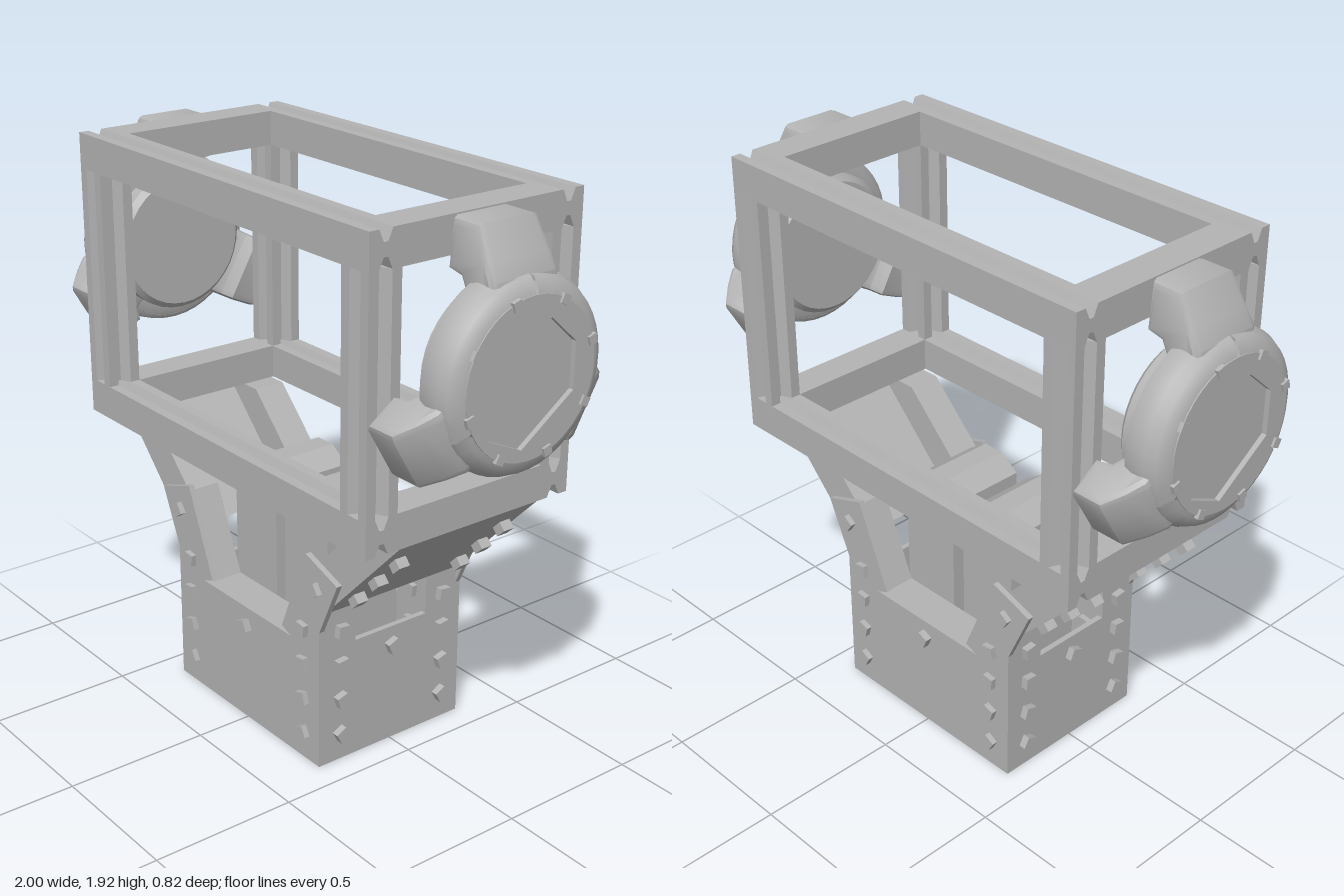
import * as THREE from 'three';
import { toCreasedNormals } from 'three/addons/utils/BufferGeometryUtils.js';

const steel = new THREE.MeshStandardMaterial({ color: 0xb4b4b4 });
steel.name = 'plainSteel';

function add(parent, name, geometry, x = 0, y = 0, z = 0) {
  const mesh = new THREE.Mesh(geometry, steel);
  mesh.name = name;
  mesh.position.set(x, y, z);
  parent.add(mesh);
  return mesh;
}

function box(parent, name, x0, x1, y0, y1, z0, z1) {
  return add(parent, name, new THREE.BoxGeometry(x1 - x0, y1 - y0, z1 - z0),
    (x0 + x1) / 2, (y0 + y1) / 2, (z0 + z1) / 2);
}

const polygon = (points) => new THREE.Shape(points.map(([x, y]) => new THREE.Vector2(x, y)));

// Prism with a front-view outline, mirrored by side, between two depths
function slab(parent, name, points, z0, z1, side = 1) {
  const shape = polygon(points.map(([x, y]) => [x * side, y]));
  return add(parent, name, new THREE.ExtrudeGeometry(shape, { depth: z1 - z0, bevelEnabled: false }), 0, 0, z0);
}

// Square bar section with a V slot on the chosen faces
function slottedSection(sides) {
  const h = 0.06, points = [];
  for (let i = 0; i < 4; i++) {
    const face = [[-h, h], ...(sides.includes(i) ? [[-0.025, h], [-0.008, 0.022], [0.008, 0.022], [0.025, h]] : [])];
    const a = -i * Math.PI / 2, c = Math.cos(a), s = Math.sin(a);
    for (const [x, y] of face) points.push([x * c - y * s, x * s + y * c]);
  }
  return polygon(points);
}

function bar(sides, length) {
  const g = new THREE.ExtrudeGeometry(slottedSection(sides), { depth: length, bevelEnabled: false });
  return g.translate(0, 0, -length / 2);
}

function makeFrame() {
  const frame = new THREE.Group();
  frame.name = 'slottedFrame';
  for (const y of [0.99, 1.86]) {
    for (const s of [-1, 1]) {
      add(frame, 'longRail', bar([0, 2], 1.52).rotateY(Math.PI / 2), 0, y, s * 0.35);
      box(frame, 'endRail', s * 0.7 - 0.06, s * 0.7 + 0.06, y - 0.06, y + 0.06, -0.29, 0.29);
    }
  }
  for (const x of [-0.7, 0.7]) {
    for (const z of [-0.35, 0.35]) {
      add(frame, 'cornerPost', bar([0, 1, 2, 3], 0.75).rotateX(-Math.PI / 2), x, 1.425, z);
    }
  }
  return frame;
}

// Round end unit built to face +x around its own centre
function makeEndUnit() {
  const unit = new THREE.Group();
  unit.name = 'endUnit';
  const lathe = (name, profile, start = 0, sweep = Math.PI * 2, segments = 36) => {
    const g = new THREE.LatheGeometry(profile.map(([r, x]) => new THREE.Vector2(r, x)), segments, start, sweep);
    return add(unit, name, toCreasedNormals(g.rotateZ(-Math.PI / 2), 0.6));
  };
  lathe('backHub', [[0, 0.78], [0.23, 0.78], [0.25, 0.80], [0.25, 0.86]]);
  lathe('core', [[0, 0.85], [0.29, 0.85], [0.3, 0.87], [0.3, 0.94], [0.25, 0.975], [0, 0.975]]);

  // Three rim shells with narrow seams between them
  for (let i = 0; i < 3; i++) {
    const shell = lathe('rimShell', [[0.24, 0.845], [0.28, 0.845], [0.305, 0.86], [0.312, 0.89],
      [0.31, 0.935], [0.295, 0.965], [0.265, 0.985], [0.24, 0.99]], i * Math.PI * 2 / 3, Math.PI * 2 / 3 - 0.03, 14);
    shell.rotation.x = 0.5;
  }

  // Front ring with a seven-cornered recess
  const ring = new THREE.Shape().absarc(0, 0, 0.25, 0, Math.PI * 2, false);
  const recess = [[-0.09, 0.17], [0.07, 0.17], [0.17, 0.08], [0.17, -0.07], [-0.03, -0.21], [-0.16, -0.15], [-0.2, -0.01]];
  ring.holes.push(new THREE.Path(recess.map(([x, y]) => new THREE.Vector2(x, y))));
  const ringGeometry = new THREE.ExtrudeGeometry(ring, { depth: 0.025, bevelEnabled: false, curveSegments: 20 });
  add(unit, 'recessRing', ringGeometry.rotateY(Math.PI / 2), 0.967, 0, 0);

  // Small square studs on the ring
  for (let i = 0; i < 8; i++) {
    const a = i * Math.PI / 4 + 0.3;
    const stud = add(unit, 'rimStud', new THREE.BoxGeometry(0.03, 0.03, 0.03), 0.985, Math.cos(a) * 0.245, Math.sin(a) * 0.245);
    stud.rotation.x = a;
  }

  // Three lugs that reach back to the frame
  for (let i = 0; i < 3; i++) {
    const tip = i === 0 ? 0.425 : 0.395, half = i === 0 ? 0.105 : 0.1;
    const outline = polygon([[0.78, 0.31], [0.83, 0.3], [0.86, 0.24], [0.86, 0.18], [0.93, 0.18],
      [0.935, 0.29], [0.905, 0.34], [0.86, tip], [0.78, tip]]);
    const g = new THREE.ExtrudeGeometry(outline, {
      depth: half * 2, bevelEnabled: true, bevelThickness: 0.025, bevelSize: 0.02, bevelSegments: 2,
    }).translate(0, 0, -half);
    // Narrow each lug towards its tip
    const p = g.attributes.position;
    for (let k = 0; k < p.count; k++) {
      p.setZ(k, p.getZ(k) * (1 - 0.8 * Math.max(0, p.getY(k) - 0.28)));
    }
    g.computeVertexNormals();
    add(unit, 'mountingLug', toCreasedNormals(g, 0.6)).rotation.x = i * Math.PI * 2 / 3;
  }
  return unit;
}

function makeBase() {
  const base = new THREE.Group();
  base.name = 'base';
  const bolt = (x, y, z, size, tilt) => {
    const mesh = add(base, 'bolt', new THREE.BoxGeometry(...size), x, y, z);
    mesh.rotation.set(...tilt);
    return mesh;
  };

  // Open box with internal support beams
  box(base, 'boxFloor', -0.4, 0.4, 0, 0.02, -0.3, 0.3);
  for (const s of [-1, 1]) {
    box(base, 'boxWall', -0.4, 0.4, 0, 0.425, s * 0.29 - 0.01, s * 0.29 + 0.01);
    box(base, 'boxEnd', s * 0.39 - 0.01, s * 0.39 + 0.01, 0, 0.425, -0.28, 0.28);
    box(base, 'innerBeam', -0.38, 0.38, 0.3, 0.42, s * 0.22 - 0.06, s * 0.22 + 0.06);
    bolt(0, 0.36, s * 0.3, [0.042, 0.042, 0.05], [0, 0, 0.4]);
    bolt(s * 0.4, 0.36, 0, [0.05, 0.042, 0.042], [0.4, 0, 0]);
  }

  // Upright packs with chamfered tops
  for (const x of [-0.145, 0.135]) {
    const pack = slab(base, 'uprightPack', [[-0.115, 0.02], [0.115, 0.02], [0.115, 0.82], [0.04, 0.87],
      [-0.04, 0.87], [-0.115, 0.82]], -0.15, 0.15);
    pack.position.x = x;
  }

  for (const s of [-1, 1]) {
    // Bent outer plate, cut out below the bend
    slab(base, 'slantedPlate', [[0.76, 0.93], [0.735, 0.93], [0.38, 0.57], [0.4, 0.56]], -0.28, 0.28, s);
    for (const d of [-1, 1]) {
      const z0 = d * 0.215;
      box(base, 'plateLeg', s * 0.39 - 0.01, s * 0.39 + 0.01, 0.42, 0.565, z0 - 0.065, z0 + 0.065);
      slab(base, 'supportArm', [[0.735, 0.93], [0.57, 0.93], [0.36, 0.72], [0.23, 0.42], [0.38, 0.42], [0.38, 0.57]],
        d * 0.22 - 0.06, d * 0.22 + 0.06, s);
      slab(base, 'cornerBracket', [[0.49, 0.7], [0.33, 0.755], [0.2, 0.445], [0.26, 0.42], [0.4, 0.42], [0.4, 0.5]],
        d * 0.29 - 0.01, d * 0.29 + 0.01, s);

      // Bolts through the box, bracket and arm
      [0.1, 0.23, 0.36, 0.485].forEach((y, i) => {
        bolt(s * 0.32, y, d * 0.23, [0.042, 0.042, 0.18], [0, 0, 0.5 - i * 0.2]);
        bolt(s * 0.4, y, d * 0.215, [0.05, 0.042, 0.042], [0.5 - i * 0.2, 0, 0]);
      });
      bolt(s * 0.385, 0.65, d * 0.23, [0.042, 0.042, 0.18], [0, 0, 0.6]);
      for (const t of [0.22, 0.49, 0.76]) {
        bolt(s * (0.405 + 0.36 * t), 0.555 + 0.37 * t, d * 0.215, [0.05, 0.042, 0.042], [0, 0, -s * 0.8]);
      }
    }
  }
  return base;
}

export function createModel() {
  const model = new THREE.Group();
  model.name = 'framedCarrier';
  model.add(makeFrame(), makeBase());
  for (const side of [0, 1]) {
    const unit = makeEndUnit();
    unit.name = side ? 'rightEndUnit' : 'leftEndUnit';
    unit.position.y = 1.47;
    unit.rotation.y = side * Math.PI;
    model.add(unit);
  }
  return model;
}
